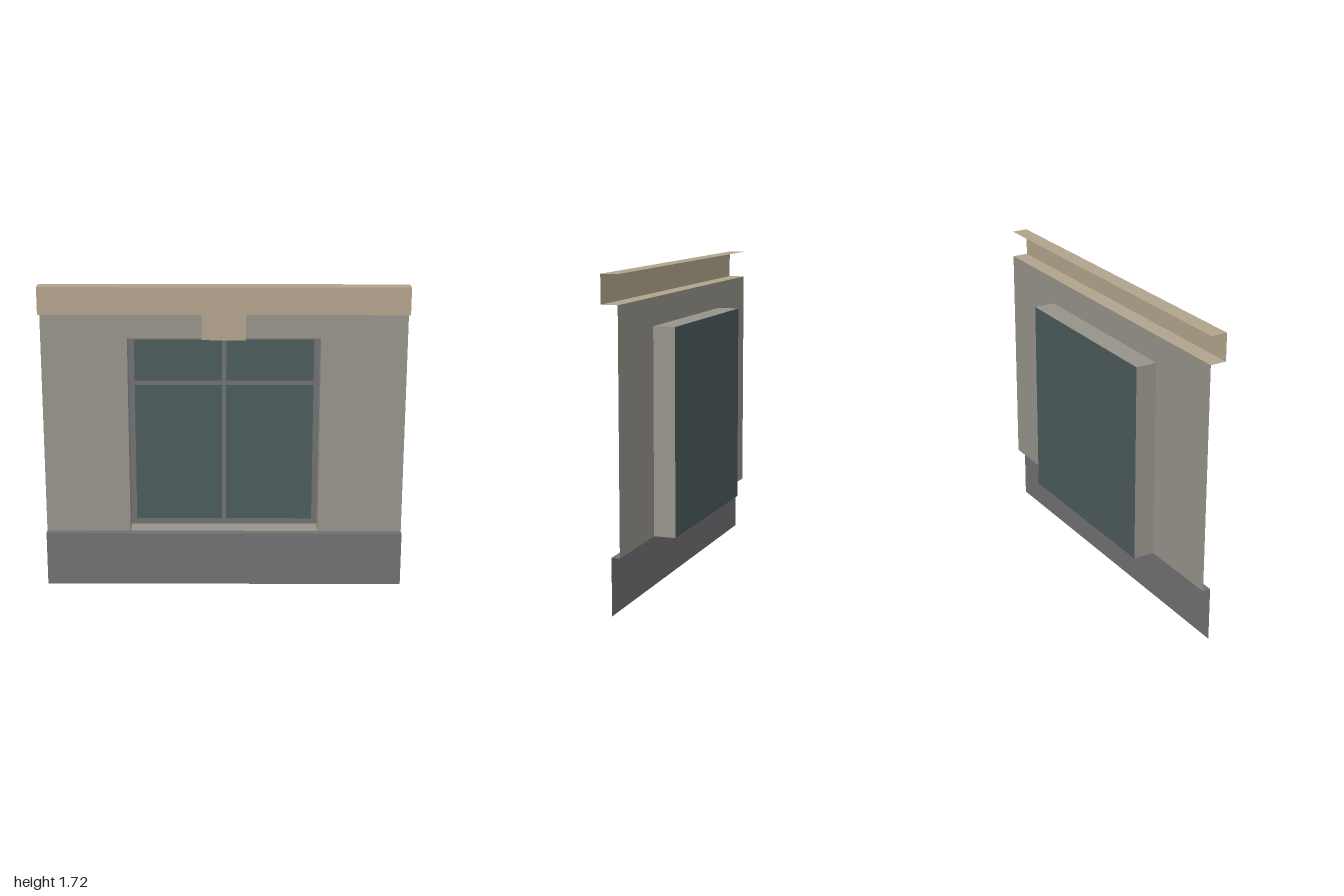
import * as THREE from 'three';

export function createModel() {
  const group = new THREE.Group();
  group.name = 'windowWallPanel';

  const mat = (name, color) => {
    const m = new THREE.MeshStandardMaterial({ color, side: THREE.DoubleSide });
    m.name = name;
    return m;
  };
  const plaster = mat('plaster', 0x96938a);
  const sandstone = mat('sandstone', 0xb2a48c);
  const slate = mat('slate', 0x717175);
  const glass = mat('glass', 0x4c5b5b);

  // Key depths and opening size
  const WALL = 0.015, BACK = -0.105, PLINTH = 0.06, CORNICE = 0.105, KEY = 0.055;
  const W = 0.528, SILL = 0.305, HEAD = 1.42, TOP = 1.57, ROOF = 1.72;

  const add = (name, geo, material, x = 0, y = 0, z = 0, parent = group) => {
    const mesh = new THREE.Mesh(geo, material);
    mesh.name = name;
    mesh.position.set(x, y, z);
    parent.add(mesh);
    return mesh;
  };
  const subgroup = (name) => {
    const g = new THREE.Group();
    g.name = name;
    group.add(g);
    return g;
  };

  // Thin surfaces: facing z, facing y (normal up or down), facing x
  const front = (name, m, x0, x1, y0, y1, z, p) =>
    add(name, new THREE.PlaneGeometry(x1 - x0, y1 - y0), m, (x0 + x1) / 2, (y0 + y1) / 2, z, p);
  const level = (name, m, x0, x1, z0, z1, y, up, p) =>
    add(name, new THREE.PlaneGeometry(x1 - x0, z1 - z0).rotateX(up * -Math.PI / 2),
      m, (x0 + x1) / 2, y, (z0 + z1) / 2, p);
  const side = (name, m, x, y0, y1, z0, z1, dir, p) =>
    add(name, new THREE.PlaneGeometry(z1 - z0, y1 - y0).rotateY(dir * Math.PI / 2),
      m, x, (y0 + y1) / 2, (z0 + z1) / 2, p);

  // Rectangle outline used for plates and their holes
  const rect = (T, x0, x1, y0, y1) => new T([
    new THREE.Vector2(x0, y0), new THREE.Vector2(x1, y0),
    new THREE.Vector2(x1, y1), new THREE.Vector2(x0, y1),
  ]);

  // Wall around the window opening: two piers and a lintel
  const wall = subgroup('wall');
  front('rightPier', plaster, -1, -W, SILL, TOP, WALL, wall);
  front('leftPier', plaster, W, 1, SILL, TOP, WALL, wall);
  front('lintel', plaster, -W, W, HEAD, TOP, WALL, wall);

  // Recess lining
  const recess = subgroup('recess');
  side('rightReveal', plaster, -W, SILL, HEAD, BACK, WALL, 1, recess);
  side('leftReveal', plaster, W, SILL, HEAD, BACK, WALL, -1, recess);
  level('sill', plaster, -W, W, BACK, WALL, SILL, 1, recess);
  level('head', plaster, -W, W, BACK, WALL, HEAD, -1, recess);

  // Glazing behind a flat frame with four openings
  front('glazing', glass, -W, W, SILL, HEAD, BACK);
  const frame = rect(THREE.Shape, -W, W, SILL, HEAD);
  for (const [x0, x1] of [[-0.498, -0.012], [0.012, 0.498]])
    for (const [y0, y1] of [[0.338, 1.128], [1.154, 1.388]])
      frame.holes.push(rect(THREE.Path, x0, x1, y0, y1));
  add('windowFrame', new THREE.ShapeGeometry(frame), slate, 0, 0, BACK + 0.004);

  // Projecting base course
  const plinth = subgroup('plinth');
  front('plinthFace', slate, -1, 1, 0, SILL, PLINTH, plinth);
  level('plinthLedge', slate, -1, 1, WALL, PLINTH, SILL, 1, plinth);

  // Cornice, open at the back and ends
  const cornice = subgroup('cornice');
  front('corniceFace', sandstone, -1, 1, TOP, ROOF, CORNICE, cornice);
  level('corniceTop', sandstone, -1, 1, WALL, CORNICE, ROOF, 1, cornice);
  level('corniceSoffit', sandstone, -1, 1, WALL, CORNICE, TOP, -1, cornice);

  // Keystone over the window
  const keystone = subgroup('keystone');
  front('keystoneFace', sandstone, -0.12, 0.12, HEAD, TOP, KEY, keystone);
  for (const s of [-1, 1])
    side(s < 0 ? 'keystoneRight' : 'keystoneLeft', sandstone, s * 0.12, HEAD, TOP, WALL, KEY, s, keystone);
  level('keystoneBottom', sandstone, -0.12, 0.12, WALL, KEY, HEAD, -1, keystone);

  return group;
}
